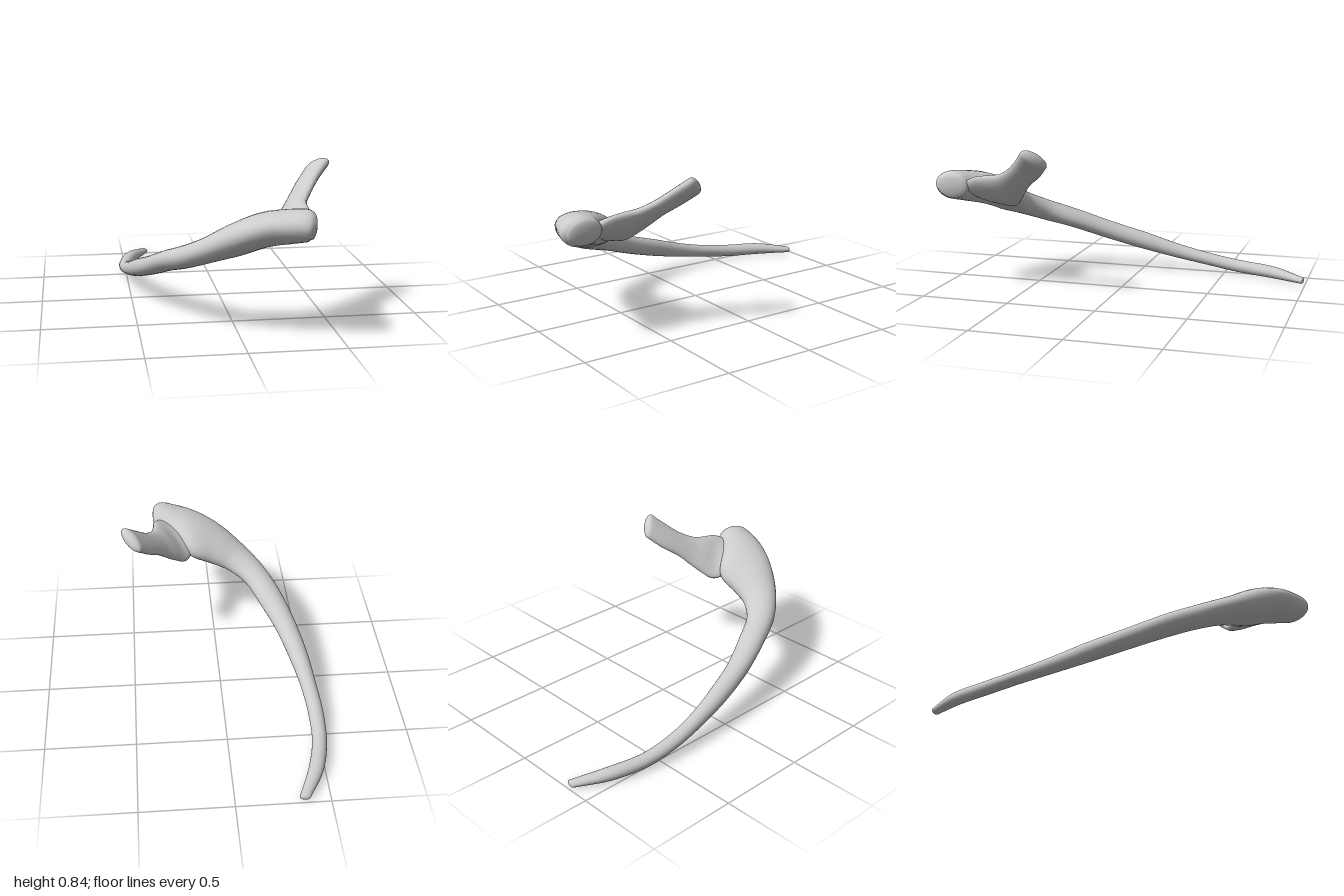
import * as THREE from 'three';

const SIDES = 24;
const material = new THREE.MeshStandardMaterial({ color: 0xcccccc });

// Each section: outer edge x,y,z, inner edge x,y,z, half thickness.
// The sections are smoothed into a tube with rounded ends.
function loft(name, sections, steps, startCap, endCap) {
  const vec = (s, k) => new THREE.Vector3(s[k], s[k + 1], s[k + 2]);
  const outer = new THREE.CatmullRomCurve3(sections.map(s => vec(s, 0)));
  const inner = new THREE.CatmullRomCurve3(sections.map(s => vec(s, 3)));
  const thick = new THREE.CatmullRomCurve3(sections.map((s, i) => new THREE.Vector3(s[6], i, 0)));
  const centre = t => outer.getPoint(t).lerp(inner.getPoint(t), 0.5);

  const frame = t => {
    const c = centre(t);
    const a = outer.getPoint(t).sub(c);
    const dir = centre(Math.min(1, t + 0.01)).sub(centre(Math.max(0, t - 0.01))).normalize();
    const b = dir.clone().cross(a).normalize().multiplyScalar(thick.getPoint(t).x);
    return { c, a, b, dir };
  };

  const positions = [], index = [];
  let rings = 0;
  const addRing = ({ c, a, b, dir }, scale, push) => {
    for (let j = 0; j < SIDES; j++) {
      const ang = j / SIDES * Math.PI * 2;
      const p = c.clone().addScaledVector(a, Math.cos(ang) * scale)
        .addScaledVector(b, Math.sin(ang) * scale).addScaledVector(dir, push);
      positions.push(p.x, p.y, p.z);
    }
    rings++;
  };

  // rounded start, body, rounded end
  const CAP = 5;
  const first = frame(0), last = frame(1);
  for (let i = CAP; i > 0; i--) {
    const q = i / CAP * Math.PI / 2;
    addRing(first, Math.max(Math.cos(q), 0.01), -Math.sin(q) * startCap);
  }
  for (let i = 0; i <= steps; i++) addRing(frame(i / steps), 1, 0);
  for (let i = 1; i <= CAP; i++) {
    const q = i / CAP * Math.PI / 2;
    addRing(last, Math.max(Math.cos(q), 0.01), Math.sin(q) * endCap);
  }

  for (let i = 0; i < rings - 1; i++) {
    for (let j = 0; j < SIDES; j++) {
      const k = (j + 1) % SIDES;
      const a = i * SIDES + j, b = i * SIDES + k, c = a + SIDES, d = b + SIDES;
      index.push(a, b, c, b, d, c);
    }
  }
  const geometry = new THREE.BufferGeometry();
  geometry.setAttribute('position', new THREE.Float32BufferAttribute(positions, 3));
  geometry.setIndex(index);
  geometry.computeVertexNormals();
  const mesh = new THREE.Mesh(geometry, material);
  mesh.name = name;
  return mesh;
}

export function createModel() {
  const group = new THREE.Group();
  group.name = 'ribBone';

  // Long curved shaft, from the thin tip to the broad knob
  group.add(loft('shaft', [
    [-0.39, 0.025, -0.985, -0.335, 0.025, -0.975, 0.018],
    [-0.485, 0.04, -0.81, -0.41, 0.04, -0.78, 0.034],
    [-0.535, 0.05, -0.6, -0.455, 0.05, -0.59, 0.036],
    [-0.545, 0.08, -0.4, -0.46, 0.08, -0.4, 0.036],
    [-0.53, 0.13, -0.2, -0.44, 0.12, -0.2, 0.042],
    [-0.507, 0.185, 0, -0.4, 0.175, -0.02, 0.05],
    [-0.46, 0.255, 0.22, -0.345, 0.235, 0.17, 0.052],
    [-0.39, 0.335, 0.43, -0.26, 0.31, 0.36, 0.055],
    [-0.31, 0.39, 0.6, -0.185, 0.37, 0.5, 0.06],
    [-0.2, 0.46, 0.735, -0.09, 0.415, 0.57, 0.066],
    [-0.04, 0.55, 0.86, 0, 0.455, 0.585, 0.083],
    [0.12, 0.605, 0.94, 0.12, 0.515, 0.59, 0.088],
    [0.23, 0.61, 0.985, 0.2, 0.565, 0.68, 0.086],
    [0.295, 0.605, 1.0, 0.305, 0.605, 0.78, 0.08],
    [0.325, 0.6, 0.98, 0.33, 0.605, 0.79, 0.07],
  ], 84, 0.01, 0.022));

  // Flattened neck that flares into the shaft and ends in a rounded head
  group.add(loft('neckAndHead', [
    [0.32, 0.62, 0.82, 0.12, 0.5, 0.63, 0.05],
    [0.343, 0.655, 0.75, 0.16, 0.485, 0.568, 0.045],
    [0.35, 0.67, 0.66, 0.215, 0.525, 0.52, 0.042],
    [0.365, 0.68, 0.6, 0.265, 0.575, 0.475, 0.037],
    [0.41, 0.72, 0.52, 0.31, 0.63, 0.425, 0.035],
    [0.46, 0.775, 0.455, 0.37, 0.69, 0.345, 0.036],
    [0.525, 0.835, 0.395, 0.43, 0.75, 0.285, 0.038],
  ], 42, 0.02, 0.032));

  return group;
}
